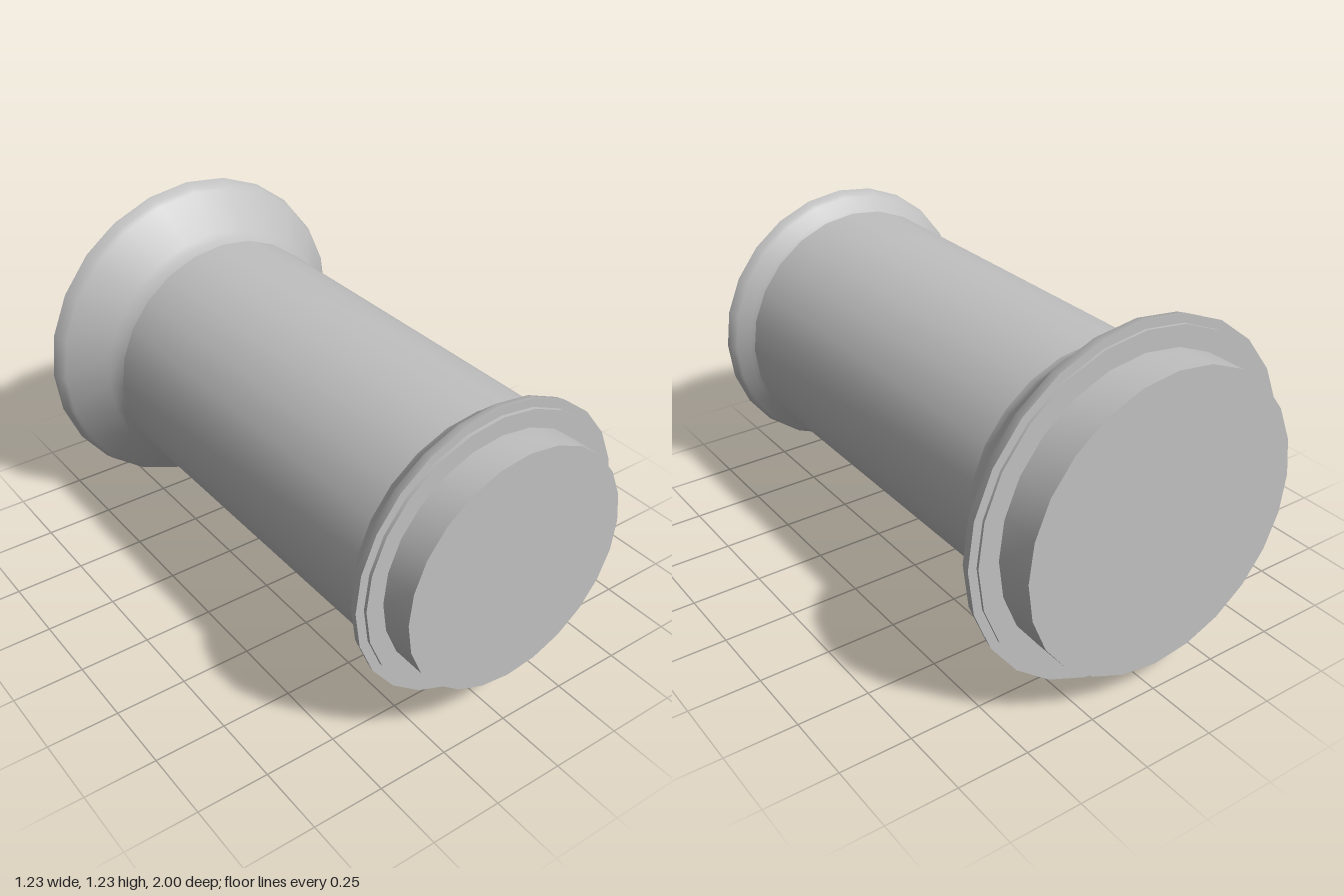
import * as THREE from 'three';
import { toCreasedNormals } from 'three/addons/utils/BufferGeometryUtils.js';

const AXIS_HEIGHT = 0.613;

export function createModel() {
  const model = new THREE.Group();
  model.name = 'flangedPipe';
  const grey = new THREE.MeshStandardMaterial({ color: 0xc0c0c0 });
  grey.name = 'plain grey';

  // Turned part lying along z; profile pairs are [radius, z], from back to front
  function turned(name, profile, sides) {
    const points = profile.map(([r, z]) => new THREE.Vector2(r, z));
    const lathe = new THREE.LatheGeometry(points, sides).rotateX(Math.PI / 2);
    const mesh = new THREE.Mesh(toCreasedNormals(lathe, 0.6), grey);
    mesh.name = name;
    mesh.position.y = AXIS_HEIGHT;
    model.add(mesh);
  }

  // Wide closed spigot at the back
  turned('backSpigot', [[0, -1], [0.512, -1], [0.512, -0.86]], 24);

  // Back collar: thin stepped lip, rim, then a flare down to the barrel
  turned('backCollar', [
    [0.512, -0.862], [0.583, -0.862], [0.583, -0.853], [0.613, -0.853],
    [0.604, -0.815], [0.59, -0.8], [0.475, -0.675], [0.457, -0.645], [0.448, -0.62],
  ], 24);

  // Long straight barrel
  turned('barrel', [[0.448, -0.62], [0.448, 0.775]], 24);

  // Front collar: short flare, rim and thin stepped lip
  turned('frontCollar', [
    [0.448, 0.775], [0.459, 0.79], [0.495, 0.83], [0.506, 0.842],
    [0.512, 0.872], [0.482, 0.872], [0.482, 0.884], [0.421, 0.884],
  ], 24);

  // Narrow closed spigot at the front
  turned('frontSpigot', [[0.421, 0.88], [0.421, 1], [0, 1]], 24);

  return model;
}
